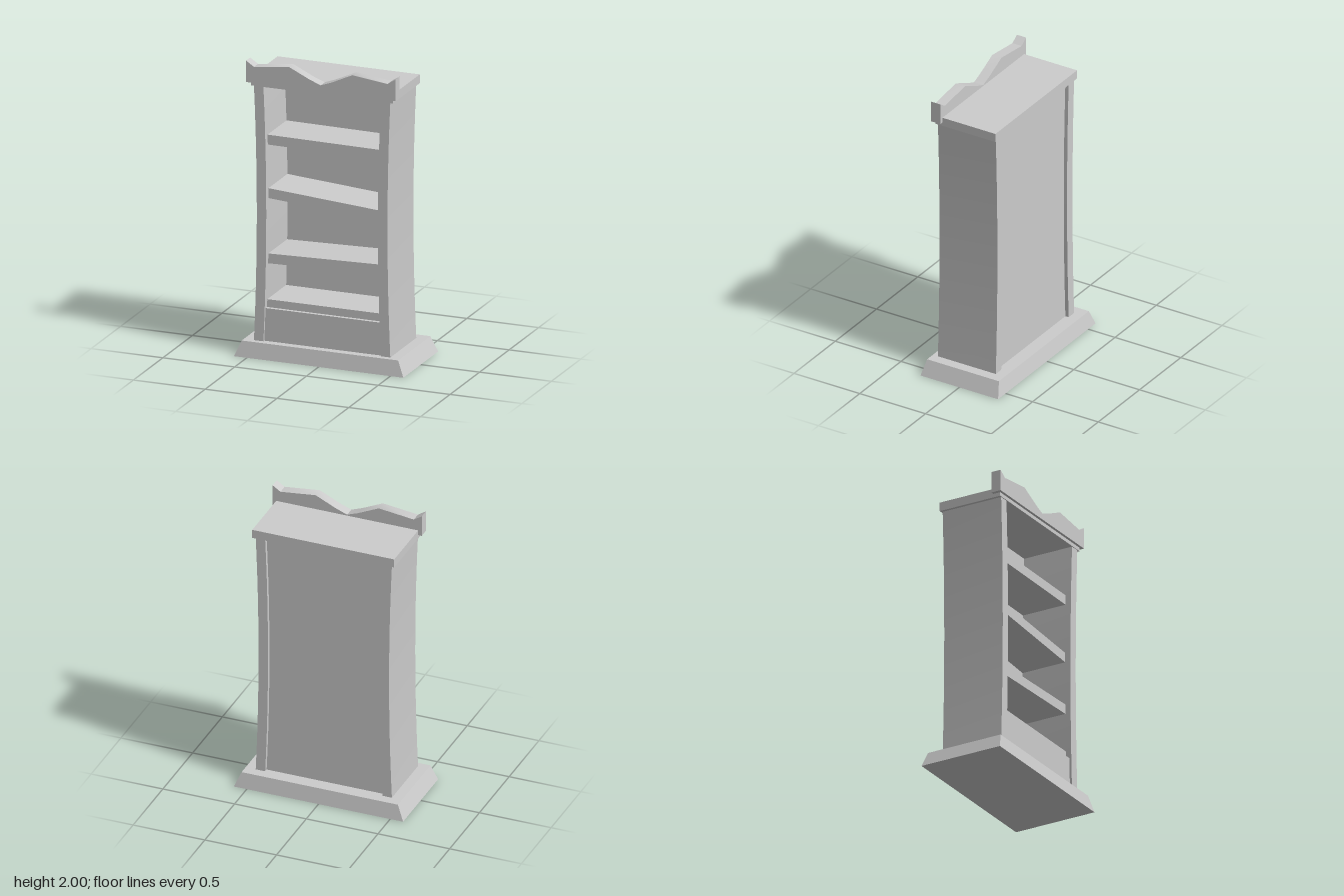
import * as THREE from 'three';
import { toCreasedNormals } from 'three/addons/utils/BufferGeometryUtils.js';

const material = new THREE.MeshStandardMaterial({ color: 0xcccccc });

export function createModel() {
  const group = new THREE.Group();

  function add(name, geometry) {
    const mesh = new THREE.Mesh(geometry, material);
    mesh.name = name;
    group.add(mesh);
    return mesh;
  }

  // Box given by its extents
  function block(name, x0, x1, y0, y1, z0, z1) {
    const g = new THREE.BoxGeometry(x1 - x0, y1 - y0, z1 - z0);
    g.translate((x0 + x1) / 2, (y0 + y1) / 2, (z0 + z1) / 2);
    return add(name, g);
  }

  // Front outline pushed back between two depths
  function slab(name, points, z0, z1, crease = 0.35) {
    const shape = new THREE.Shape(points.map(([x, y]) => new THREE.Vector2(x, y)));
    const g = new THREE.ExtrudeGeometry(shape, { depth: z1 - z0, bevelEnabled: false });
    g.translate(0, 0, z0);
    return add(name, toCreasedNormals(g, crease));
  }

  // Plinth with sloping sides
  const plinth = new THREE.BoxGeometry(1.18, 0.105, 0.59);
  const p = plinth.attributes.position;
  for (let i = 0; i < p.count; i++) {
    if (p.getY(i) > 0) {
      p.setX(i, Math.sign(p.getX(i)) * 0.545);
      p.setZ(i, Math.sign(p.getZ(i)) * 0.273);
    }
  }
  plinth.computeVertexNormals();
  plinth.translate(0, 0.0525, 0);
  add('plinth', plinth);

  // Side walls, bowed inward at mid height
  const bottom = 0.1, top = 1.835, steps = 12;
  for (const s of [-1, 1]) {
    const outer = [], inner = [];
    for (let i = 0; i <= steps; i++) {
      const t = i / steps;
      const bow = 0.02 * 4 * t * (1 - t);
      const y = bottom + (top - bottom) * t;
      outer.push([s * (0.475 - bow), y]);
      inner.unshift([s * (0.409 - bow), y]);
    }
    slab(s > 0 ? 'leftSide' : 'rightSide', [...outer, ...inner], -0.205, 0.235);
  }

  // Recessed back and lower front panel
  block('backPanel', -0.42, 0.42, 0.1, 1.835, -0.18, -0.125);
  block('kickPanel', -0.42, 0.42, 0.1, 0.327, 0.15, 0.22);

  // Crooked shelves: top height at -x, top height at +x
  const shelves = [[0.38, 0.38], [0.69, 0.712], [1.135, 1.075], [1.495, 1.488]];
  const thick = 0.067;
  shelves.forEach(([a, b], i) => {
    slab('shelf' + (i + 1),
      [[-0.415, a - thick], [0.415, b - thick], [0.415, b], [-0.415, a]], -0.13, 0.195);
  });

  // Top board
  block('topBoard', -0.495, 0.495, 1.83, 1.89, -0.215, 0.24);

  // Crest with horned ends and a dip in the middle
  const half = [[0.52, 1.855], [0.52, 2.0], [0.465, 1.964], [0.22, 1.993], [0.075, 1.925]];
  const mirrored = half.map(([x, y]) => [-x, y]).reverse();
  slab('crest', [...half, [0, 1.897], ...mirrored], 0.188, 0.258, 0.6);

  return group;
}
